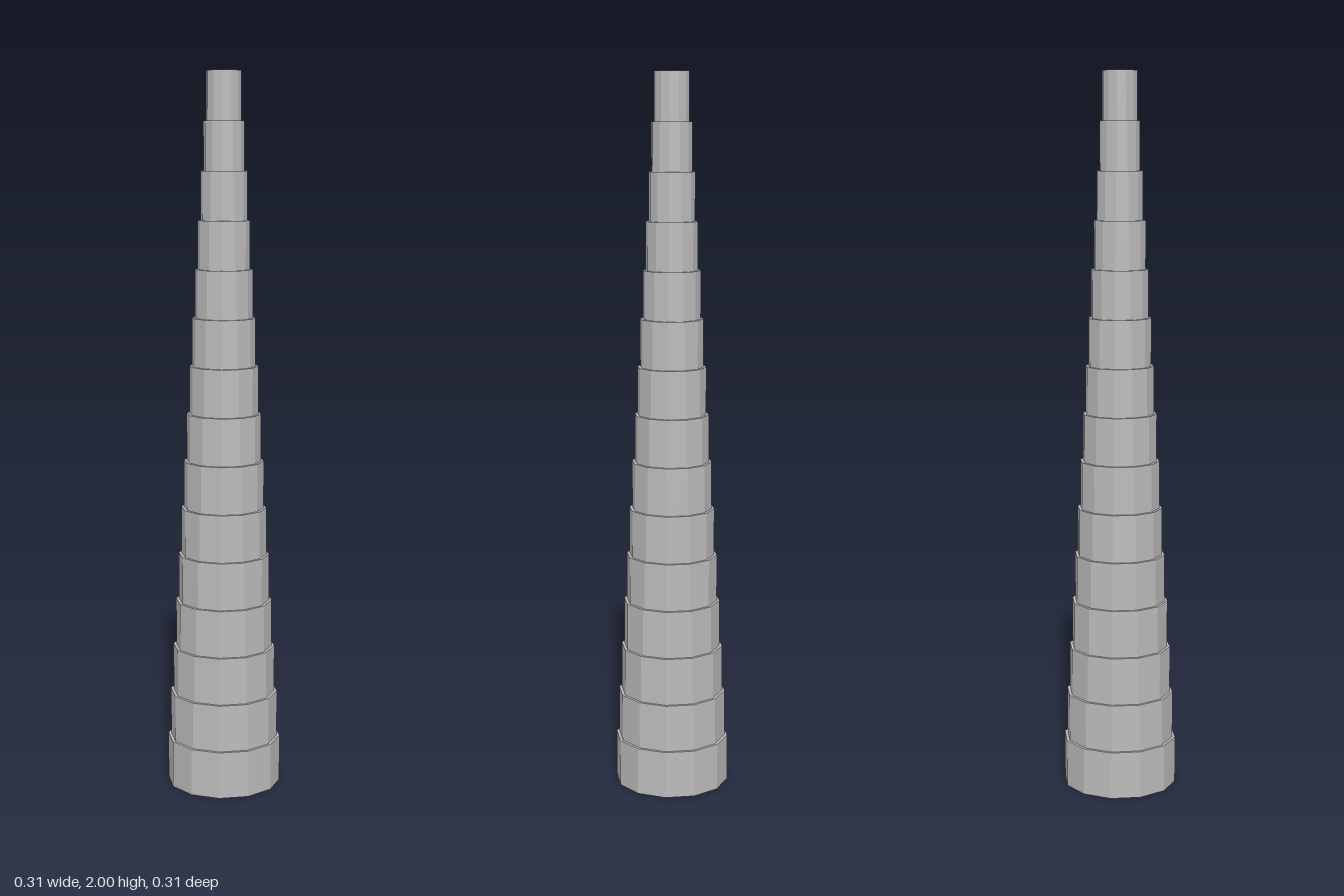
import * as THREE from 'three';

const TIERS = 15;
const SIDES = 12;
const HEIGHT = 2 / TIERS;
const BASE_RADIUS = 0.16;
const RADIUS_STEP = 0.008;

export function createModel() {
  const model = new THREE.Group();
  model.name = 'steppedColumn';

  const grey = new THREE.MeshStandardMaterial({ color: 0xbbbbbb, flatShading: true });
  grey.name = 'grey';

  // Straight twelve-sided tiers, each a little narrower than the one below,
  // turned so that flat faces point along x and z
  for (let i = 0; i < TIERS; i++) {
    const radius = BASE_RADIUS - RADIUS_STEP * i;
    const geometry = new THREE.CylinderGeometry(
      radius, radius, HEIGHT, SIDES, 1, false, Math.PI / SIDES
    );
    const tier = new THREE.Mesh(geometry, grey);
    tier.name = `tier${i + 1}`;
    tier.position.y = HEIGHT * (i + 0.5);
    model.add(tier);
  }

  return model;
}
